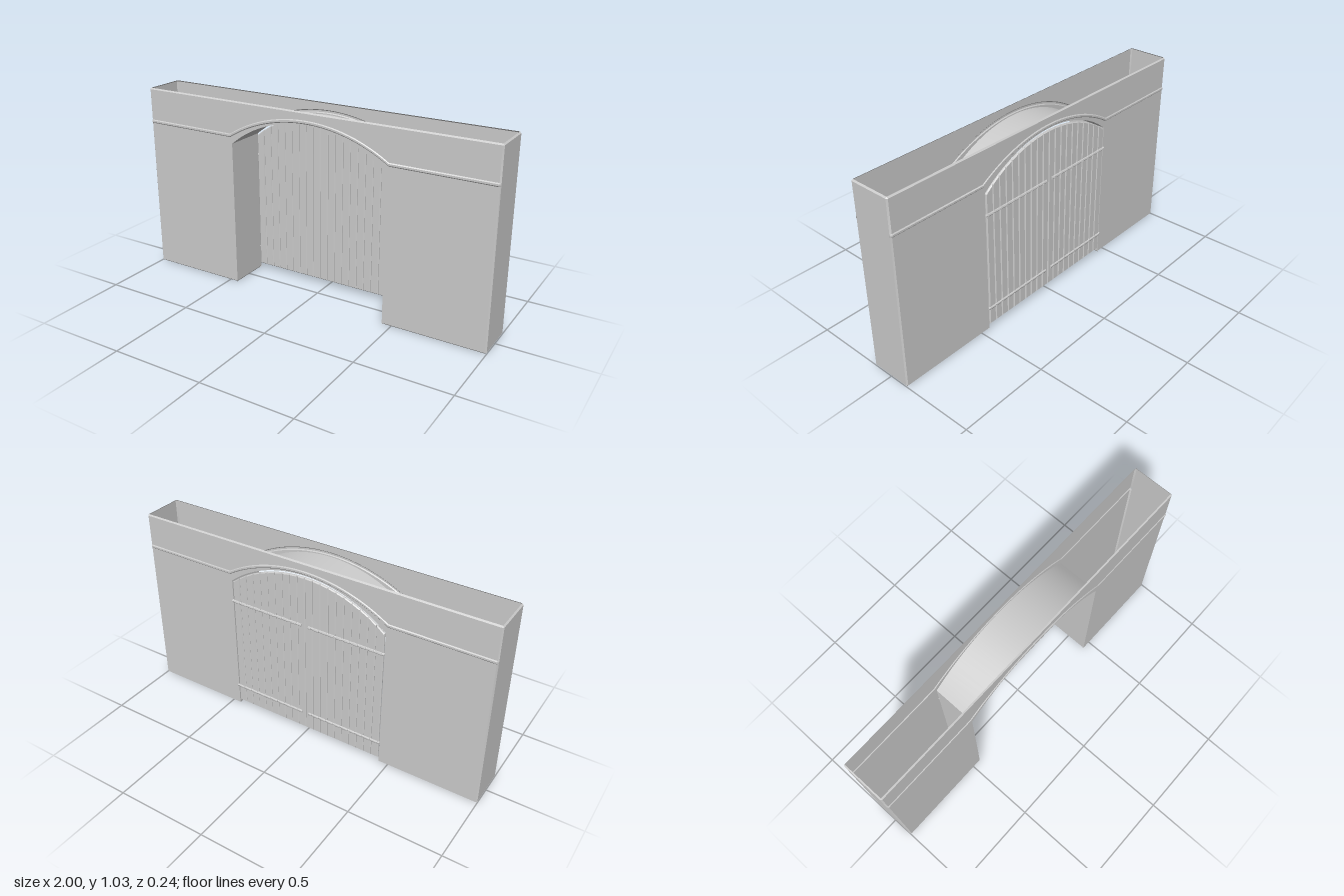
import * as THREE from 'three';
import { toCreasedNormals } from 'three/addons/utils/BufferGeometryUtils.js';

const HALF = 0.45;                 // half width of the gateway
const TOP = 1.03;                  // wall height
const FRONT = 0.1175, BACK = -0.112;
const C = 0.007;                   // edge chamfer

const grey = new THREE.MeshStandardMaterial({ color: 0xcccccc });
const thin = new THREE.MeshStandardMaterial({ color: 0xcccccc, side: THREE.DoubleSide });

// Height of a circular arc that rises from spring to crown over a half span
function arc(x, half, spring, crown) {
  const rise = crown - spring;
  const r = (half * half + rise * rise) / (2 * rise);
  return crown - r + Math.sqrt(r * r - x * x);
}
const archY = (x) => arc(x, HALF, 0.8, 0.965);
const ribY = (x) => (Math.abs(x) >= 0.46 ? 0.845 : arc(x, 0.46, 0.845, 0.98));

// Surface through a row of cross-sections with equal point counts
function loft(name, sections, flip = false) {
  const n = sections[0].length;
  const index = [];
  for (let i = 0; i < sections.length - 1; i++) {
    for (let j = 0; j < n - 1; j++) {
      const a = i * n + j, b = a + n;
      if (flip) index.push(a, a + 1, b, b, a + 1, b + 1);
      else index.push(a, b, a + 1, b, b + 1, a + 1);
    }
  }
  const geo = new THREE.BufferGeometry();
  geo.setAttribute('position', new THREE.Float32BufferAttribute(sections.flat(2), 3));
  geo.setIndex(index);
  const mesh = new THREE.Mesh(toCreasedNormals(geo, 0.45), thin);
  mesh.name = name;
  return mesh;
}

// One vertical strip of a wall face, with the raised rib and chamfered rims
function wallColumn(x, bottom, z, dir, inset) {
  const r = ribY(x);
  const onLeg = bottom === 0;
  const rows = [
    [bottom, onLeg ? -C : 0], [bottom + (onLeg ? C : 0.001), 0],
    [r - 0.010, 0], [r - 0.005, 0.004], [r + 0.004, 0.004], [r + 0.009, 0],
    [TOP - C, 0], [TOP, -C],
  ];
  return rows.map(([y, out], i) => {
    const rim = i === 0 && onLeg || i === rows.length - 1;
    const px = inset && rim ? Math.sign(x) * (1 - C) : x;
    const off = inset ? -C + Math.max(out, 0) * 0.5 : out;
    return [px, y, z + dir * off];
  });
}

function wallFace(name, z, dir) {
  const face = new THREE.Group();
  face.name = name;
  const flip = dir < 0;
  const leg = [[1, true], [1 - C, false], [0.46, false], [HALF, false]];
  const column = (s) => ([x, inset]) => wallColumn(s * x, 0, z, dir, inset);
  face.add(loft('rightLegFace', leg.map(column(-1)), flip));
  face.add(loft('leftLegFace', leg.map(column(1)).reverse(), flip));
  const arch = [];
  for (let i = 0; i <= 32; i++) {
    const x = -HALF + (2 * HALF * i) / 32;
    arch.push(wallColumn(x, archY(x), z, dir, false));
  }
  face.add(loft('archFace', arch, flip));
  return face;
}

// Closed end of the hollow wall
function wallEnd(name, s) {
  const side = (z) => [[1 - C, 0], [1, C], [1, TOP - C], [1 - C, TOP]].map(([x, y]) => [s * x, y, z]);
  return loft(name, [side(FRONT - C), side(BACK + C)], s < 0);
}

// Passage lining: two jambs and the arched ceiling
function passage() {
  const outline = [[-HALF - 0.004, 0], [-HALF, C]];
  for (let i = 0; i <= 32; i++) {
    const x = -HALF + (2 * HALF * i) / 32;
    outline.push([x, archY(x)]);
  }
  outline.push([HALF, C], [HALF + 0.004, 0]);
  return loft('passageLining', [FRONT, BACK].map((z) => outline.map(([x, y]) => [x, y, z])));
}

// Bevelled plank whose top follows the arch
function plank(x0, x1) {
  const top = (x) => archY(x) - 0.01;
  const shape = new THREE.Shape();
  shape.moveTo(x0, 0.03);
  shape.lineTo(x1, 0.03);
  shape.lineTo(x1, top(x1));
  shape.lineTo(x0, top(x0));
  shape.closePath();
  const bevel = 0.005;
  const geo = new THREE.ExtrudeGeometry(shape, {
    depth: 0.006, bevelEnabled: true, bevelSegments: 1,
    bevelSize: bevel, bevelThickness: bevel, bevelOffset: -bevel,
  });
  geo.translate(0, 0, -0.111);
  const mesh = new THREE.Mesh(geo, grey);
  mesh.name = 'plank';
  return mesh;
}

// Round bar lying along x
function bar(name, x0, x1, y, radius) {
  const geo = new THREE.CylinderGeometry(radius, radius, x1 - x0, 10);
  geo.rotateZ(Math.PI / 2);
  geo.translate((x0 + x1) / 2, y, -0.113);
  const mesh = new THREE.Mesh(toCreasedNormals(geo, 0.7), grey);
  mesh.name = name;
  return mesh;
}

// Door leaf with ten planks and two strap hinges
function doorLeaf(name, s) {
  const leaf = new THREE.Group();
  leaf.name = name;
  const w = 0.0445;
  for (let i = 0; i < 10; i++) {
    const [x0, x1] = [s * i * w, s * (i + 1) * w].sort((a, b) => a - b);
    leaf.add(plank(x0, x1));
    for (const y of [0.13, 0.68]) {
      const a = i === 0 && s > 0 ? 0.02 : x0 + 0.006;
      const b = i === 0 && s < 0 ? -0.02 : x1 - 0.006;
      leaf.add(bar('strapBoss', a, b, y, 0.0095));
    }
  }
  for (const y of [0.13, 0.68]) {
    const [a, b] = [s * 0.02, s * 0.453].sort((p, q) => p - q);
    leaf.add(bar('hingeStrap', a, b, y, 0.007));
  }
  return leaf;
}

export function createModel() {
  const model = new THREE.Group();
  model.name = 'gateWall';
  model.add(
    wallFace('frontWall', FRONT, 1),
    wallFace('backWall', BACK, -1),
    wallEnd('leftEnd', 1),
    wallEnd('rightEnd', -1),
    passage(),
    doorLeaf('leftDoor', 1),
    doorLeaf('rightDoor', -1),
  );
  return model;
}
